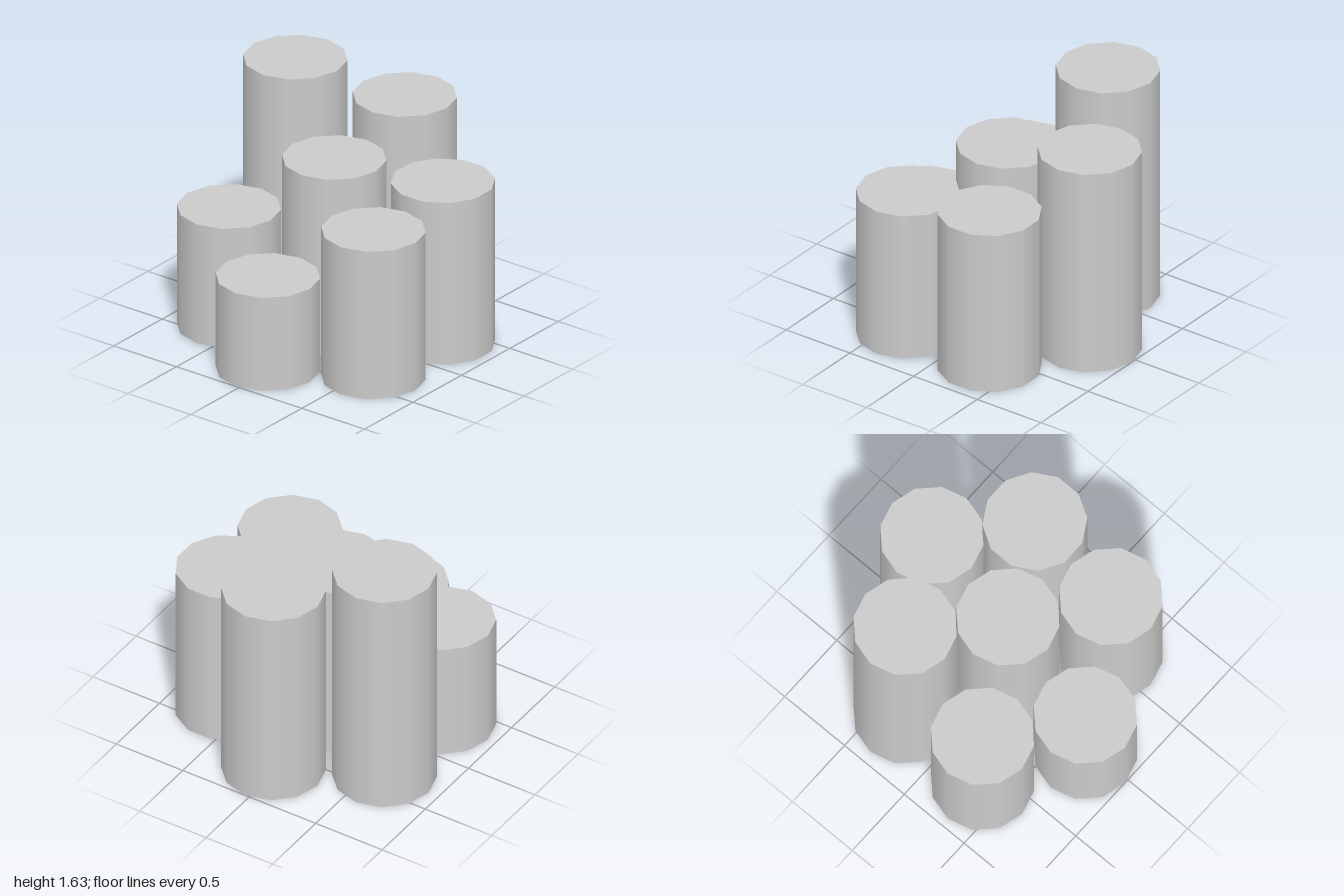
import * as THREE from 'three';
import { mergeGeometries } from 'three/addons/utils/BufferGeometryUtils.js';

const RADIUS = 0.332;
const SIDES = 12;

// Twelve-sided column standing on y = 0: smooth wall, flat top, open underneath
function columnGeometry(height, turn) {
  const wall = new THREE.CylinderGeometry(RADIUS, RADIUS, height, SIDES, 1, true);
  wall.translate(0, height / 2, 0);
  const top = new THREE.CircleGeometry(RADIUS, SIDES);
  top.rotateX(-Math.PI / 2).translate(0, height, 0);
  return mergeGeometries([wall, top]).rotateY(turn);
}

export function createModel() {
  const model = new THREE.Group();
  model.name = 'columnCluster';
  const stone = new THREE.MeshStandardMaterial({ color: 0xcccccc, side: THREE.DoubleSide });

  // name, x, z, height, turn about the upright axis
  const columns = [
    ['centreColumn', -0.005, -0.01, 1.23, 0],
    ['leftColumn', 0.668, 0.033, 1.43, 0],
    ['rightColumn', -0.668, -0.027, 0.65, 0],
    ['frontLeftColumn', 0.311, 0.613, 1.13, Math.PI / SIDES],
    ['frontRightColumn', -0.358, 0.575, 1.03, 0],
    ['backLeftColumn', 0.347, -0.593, 1.63, 0],
    ['backRightColumn', -0.315, -0.61, 0.83, 0],
  ];
  for (const [name, x, z, height, turn] of columns) {
    const column = new THREE.Mesh(columnGeometry(height, turn), stone);
    column.name = name;
    column.position.set(x, 0, z);
    model.add(column);
  }
  return model;
}
